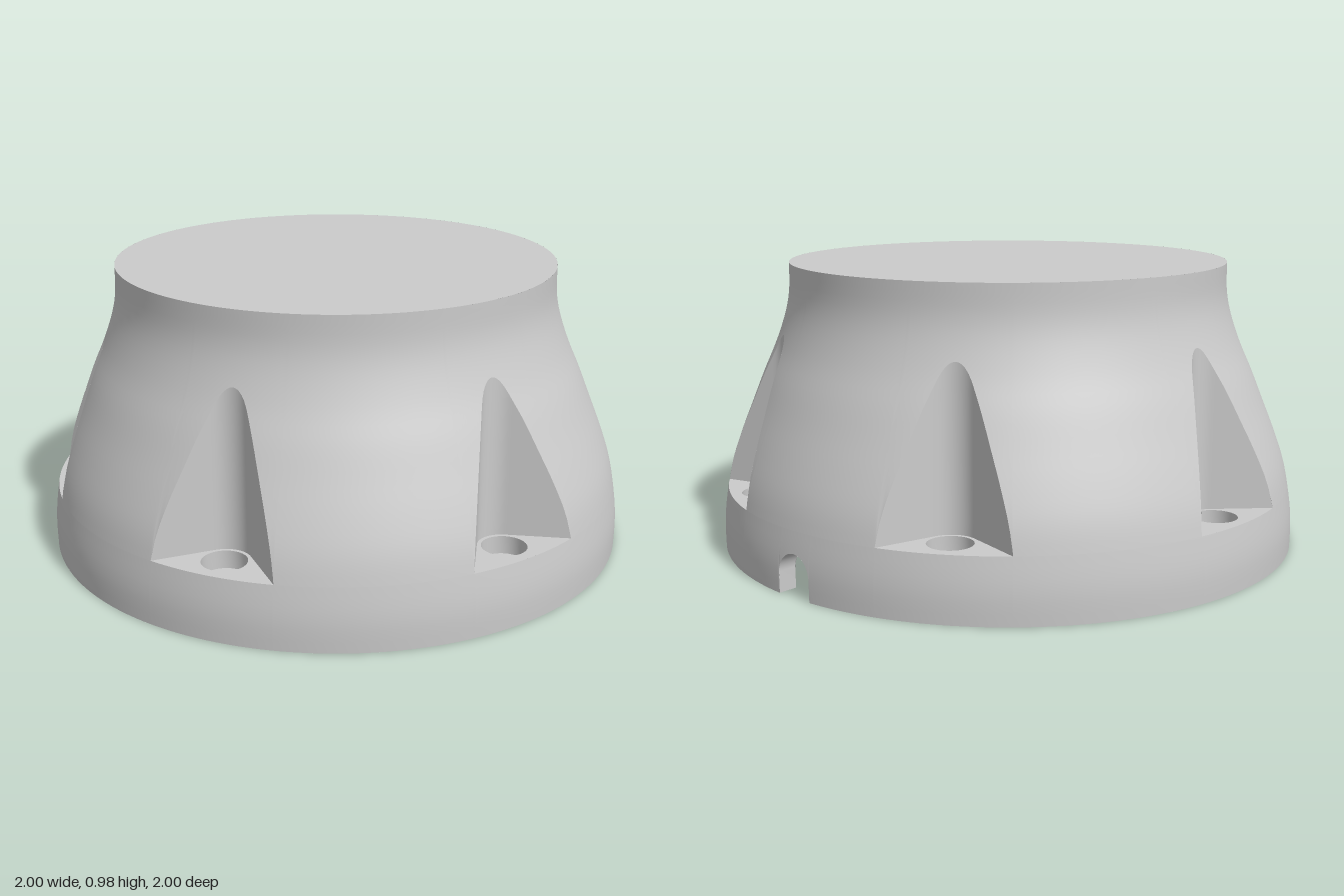
import * as THREE from 'three';
import { toCreasedNormals } from 'three/addons/utils/BufferGeometryUtils.js';

const DEG = Math.PI / 180;
const TOP = 0.975, FLOOR = 0.21, CEILING = 0.66, WALL = 0.065;
const SCREW_R = 0.875;                       // screw circle
const POCKET = 0.085, BOSS = 0.135;          // corner radii of pocket and inner boss
const NOTCH_W = 0.07, NOTCH_Y = 0.07;        // half width and arch centre of the cable notch
const EXTRA = [[0.8, 0.08], [-0.8, 0.08]];   // blind holes beside the side bosses (x, -z)

// Bell outline, sampled from a spline and looked up by height
const outline = new THREE.SplineCurve([
  [1, 0], [1, 0.1], [0.985, 0.21], [0.965, 0.3], [0.93, 0.4], [0.89, 0.5], [0.85, 0.6],
  [0.806, 0.7], [0.772, 0.8], [0.757, 0.88], [0.755, TOP],
].map(([r, y]) => new THREE.Vector2(r, y))).getPoints(80);

function bell(y) {
  const i = Math.max(1, outline.findIndex((p) => p.y >= y - 1e-9));
  const a = outline[i - 1], b = outline[i];
  return a.x + (b.x - a.x) * (y - a.y) / (b.y - a.y);
}

// Angle measured from the nearest of the six screws
const fromScrew = (t) => Math.abs(t - Math.round(t / (60 * DEG)) * 60 * DEG);

// Distance from the axis to a rounded right-angled V around a screw
function vee(t, rho) {
  const a = fromScrew(t), h = rho * Math.SQRT1_2;
  if (a < Math.atan2(h, SCREW_R - h)) {
    return SCREW_R * Math.cos(a) - Math.sqrt(rho ** 2 - (SCREW_R * Math.sin(a)) ** 2);
  }
  return (SCREW_R - rho * Math.SQRT2) / (Math.cos(a) - Math.sin(a));
}

// Distance from the axis to the cavity wall
function cavity(t, y) {
  let r = Math.min(bell(y) - WALL, vee(t, BOSS));
  for (const [x, z] of EXTRA) {
    const along = x * Math.cos(t) + z * Math.sin(t);
    const off = z * Math.cos(t) - x * Math.sin(t);
    if (along > 0 && Math.abs(off) < 0.08) r = Math.min(r, along - Math.sqrt(0.0064 - off * off));
  }
  return r;
}

// Height at which the pocket wall breaks through the bell
function pocketTop(t) {
  const r = vee(t, POCKET);
  if (r >= bell(FLOOR)) return FLOOR;
  let lo = FLOOR, hi = TOP;
  for (let k = 0; k < 30; k++) {
    const m = (lo + hi) / 2;
    if (bell(m) > r) lo = m; else hi = m;
  }
  return lo;
}

// Lower edge of a wall of radius r, raised over the notch at the back
function lowerEdge(t, r) {
  const x = r * Math.cos(t);
  if (Math.sin(t) < 0 || Math.abs(x) >= NOTCH_W) return 0;
  return NOTCH_Y + Math.sqrt(NOTCH_W ** 2 - x * x);
}

const polar = (r, t, y) => new THREE.Vector3(r * Math.cos(t), y, -r * Math.sin(t));
const flat = (r, t) => new THREE.Vector2(r * Math.cos(t), r * Math.sin(t));
const range = (a, b, n) => Array.from({ length: n + 1 }, (_, i) => a + (b - a) * i / n);

// Surface over a list of columns and n rows
function surface(cols, n, fn) {
  const pos = [], index = [], s = n + 1;
  cols.forEach((c, i) => {
    for (let j = 0; j <= n; j++) {
      pos.push(...fn(c, j / n).toArray());
      if (i && j) {
        const d = i * s + j, b = d - s;
        index.push(b - 1, d - 1, d, b - 1, d, b);
      }
    }
  });
  const g = new THREE.BufferGeometry();
  g.setAttribute('position', new THREE.Float32BufferAttribute(pos, 3));
  g.setIndex(index);
  g.computeVertexNormals();
  return g;
}

// Flat plate from a shape, laid horizontal at height y
const plate = (shape, y) => new THREE.ShapeGeometry(shape, 16).rotateX(-Math.PI / 2).translate(0, y, 0);

function circle(x, y, r) {
  return new THREE.Path().absarc(x, y, r, 0, Math.PI * 2, true);
}

function lathe(points) {
  return toCreasedNormals(new THREE.LatheGeometry(points.map((p) => new THREE.Vector2(...p)), 32), 0.6);
}

export function createModel() {
  const model = new THREE.Group();
  const material = new THREE.MeshStandardMaterial({ color: 0xcccccc, side: THREE.DoubleSide });
  const add = (name, geometry, parent = model) => {
    const mesh = new THREE.Mesh(geometry, material);
    mesh.name = name;
    parent.add(mesh);
    return mesh;
  };

  // Columns around the axis, with extra ones at pocket corners and notch edges
  const corner = Math.acos((SCREW_R - POCKET * Math.SQRT2) / (bell(FLOOR) * Math.SQRT2)) - Math.PI / 4;
  const around = (extra) => [...range(30 * DEG, 390 * DEG, 480), ...extra].sort((a, b) => a - b);
  const notchEdges = (r) => [-1, 1].flatMap((s) => [-1e-4, 1e-4].map((e) =>
    Math.PI / 2 + s * Math.asin(NOTCH_W / r) + e));
  const corners = range(60 * DEG, 360 * DEG, 5).flatMap((t) => [t - corner, t + corner]);

  // Outer skin
  add('baseBand', surface(around([...notchEdges(1), ...corners]), 6, (t, v) => {
    const y = THREE.MathUtils.lerp(lowerEdge(t, 1), FLOOR, v);
    return polar(bell(y), t, y);
  }));
  add('bellShell', surface(around(corners), 26, (t, v) => {
    const y = THREE.MathUtils.lerp(pocketTop(t), TOP, v);
    return polar(bell(y), t, y);
  }));
  add('topCap', new THREE.CircleGeometry(bell(TOP), 120).rotateX(-Math.PI / 2).translate(0, TOP, 0));

  // Cavity
  add('cavityWall', surface(around(notchEdges(bell(0) - WALL)), 26, (t, v) => {
    const y = THREE.MathUtils.lerp(CEILING, lowerEdge(t, bell(0) - WALL), v);
    return polar(cavity(t, y), t, y);
  }));
  add('cavityCeiling', plate(new THREE.Shape(range(0, 359 * DEG, 359).map((t) => flat(cavity(t, CEILING), t))), CEILING));

  // Six screw pockets
  const wallAngles = range(-corner, corner, 48);
  const pocketWall = surface(wallAngles, 10, (t, v) =>
    polar(vee(t, POCKET), t, THREE.MathUtils.lerp(FLOOR, pocketTop(t), v)));
  const floorShape = new THREE.Shape([
    ...wallAngles.map((t) => flat(vee(t, POCKET), t)),
    ...range(corner, -corner, 24).slice(1, -1).map((t) => flat(bell(FLOOR), t)),
  ]);
  floorShape.holes.push(circle(SCREW_R, 0, 0.073));
  const pocketFloor = plate(floorShape, FLOOR);
  const screwHole = lathe([[0.073, FLOOR], [0.073, 0.15], [0.045, 0.15], [0.045, 0]]);
  for (let k = 0; k < 6; k++) {
    const pocket = new THREE.Group();
    pocket.name = 'screwPocket' + (k + 1);
    pocket.rotation.y = k * 60 * DEG;
    add('pocketWall', pocketWall, pocket);
    add('pocketFloor', pocketFloor, pocket);
    add('screwHole', screwHole, pocket).position.x = SCREW_R;
    model.add(pocket);
  }

  // Underside rim, open at the notch, pierced by the holes
  const ring = (r, fn) => {
    const e = Math.asin(NOTCH_W / r);
    return range(Math.PI / 2 + e, Math.PI * 2.5 - e, 480).map((t) => flat(fn(t), t));
  };
  const rim = new THREE.Shape([
    ...ring(1, () => 1),
    ...ring(bell(0) - WALL, (t) => cavity(t, 0)).reverse(),
  ]);
  for (let k = 0; k < 6; k++) {
    const c = flat(SCREW_R, k * 60 * DEG);
    rim.holes.push(circle(c.x, c.y, 0.045));
  }
  EXTRA.forEach(([x, y]) => rim.holes.push(circle(x, y, 0.032)));
  const underside = plate(rim, 0);
  underside.scale(1, -1, 1);
  add('undersideRim', underside);

  // Blind holes
  const blind = lathe([[0, 0.15], [0.032, 0.15], [0.032, 0]]);
  for (const [x, z] of EXTRA) add('blindHole', blind).position.set(x, 0, -z);

  // Cable notch through the back of the rim
  const arch = [[-NOTCH_W, 0],
    ...range(Math.PI, 0, 24).map((a) => [NOTCH_W * Math.cos(a), NOTCH_Y + NOTCH_W * Math.sin(a)]),
    [NOTCH_W, 0]];
  add('cableNotch', surface(arch, 2, ([x, y], v) => {
    const r = bell(y) - WALL * v;
    return new THREE.Vector3(x, y, -Math.sqrt(r * r - x * x));
  }));

  return model;
}
